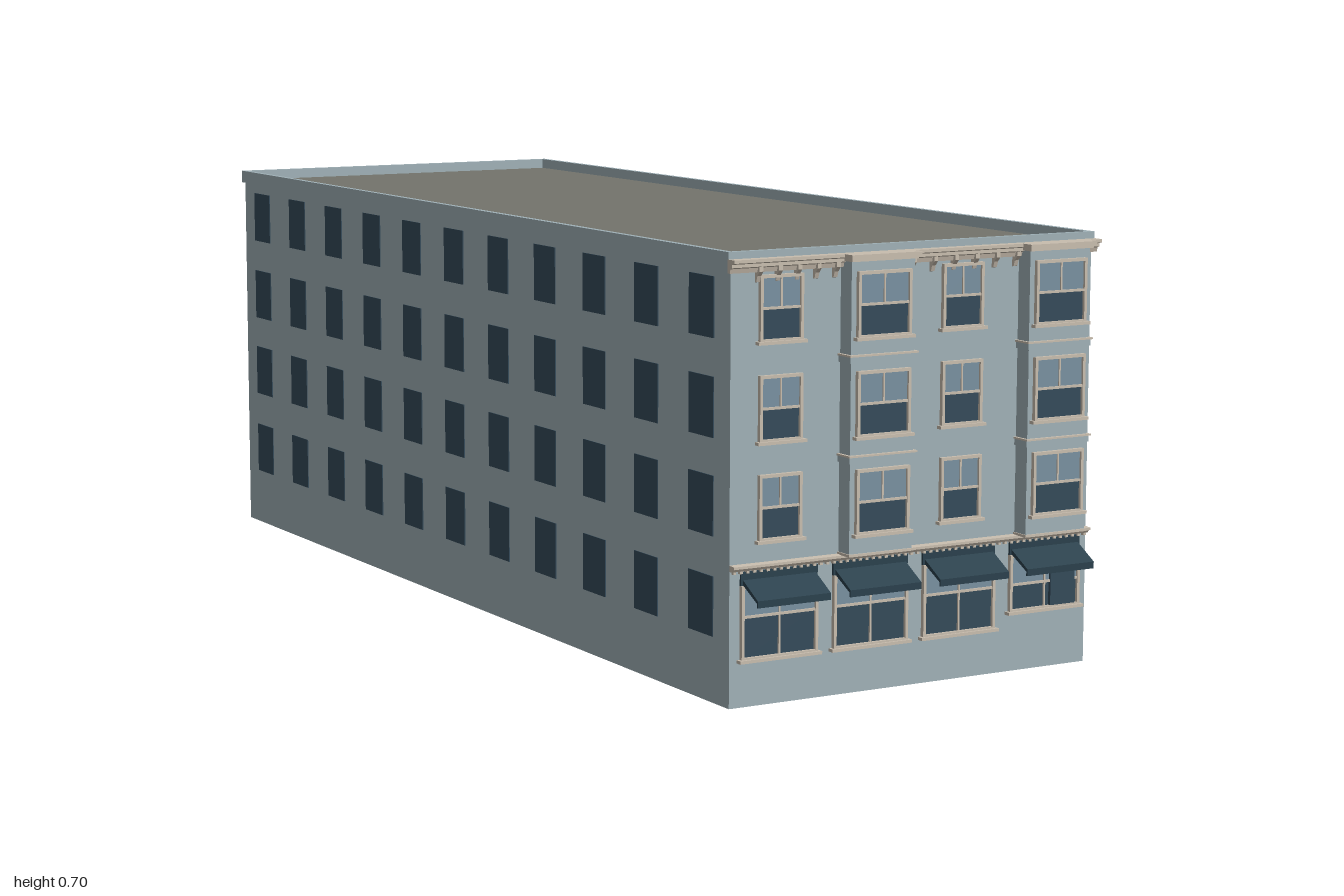
import * as THREE from 'three';

const mat = (color) => new THREE.MeshStandardMaterial({ color, flatShading: true });
const wall = mat(0x9fb0b6), roof = mat(0x73746c), dark = mat(0x344a59);
const pale = mat(0x7890a0), trim = mat(0xc8bdae), cloth = mat(0x2a404c);

const W = 0.672, L = 1.863;   // building width and depth, front wall at z = 0
const BAY = 0.03;             // how far the bays stand out
const columns = [0, 1, 2, 3].map((i) => (i - 1.5) * 0.167 + 0.002);
const floors = [0.307, 0.459, 0.612];

// Box spanning y0..y1 and z0..z1, centred on x
function box(parent, name, m, x, w, y0, y1, z0, z1) {
  const mesh = new THREE.Mesh(new THREE.BoxGeometry(w, y1 - y0, z1 - z0), m);
  mesh.position.set(x, (y0 + y1) / 2, (z0 + z1) / 2);
  mesh.name = name;
  parent.add(mesh);
  return mesh;
}

// Profile of [z, y] points swept along x
function sweep(parent, name, m, x, w, pts, z = 0) {
  const shape = new THREE.Shape(pts.map((p) => new THREE.Vector2(p[0], p[1])));
  const geo = new THREE.ExtrudeGeometry(shape, { depth: w, bevelEnabled: false });
  geo.rotateY(-Math.PI / 2);
  const mesh = new THREE.Mesh(geo, m);
  mesh.position.set(x + w / 2, 0, z);
  mesh.name = name;
  parent.add(mesh);
}

// Rectangular frame with a hole
function frame(parent, x, w, y0, y1, z, t, depth) {
  const s = new THREE.Shape();
  s.moveTo(-w / 2, y0).lineTo(w / 2, y0).lineTo(w / 2, y1).lineTo(-w / 2, y1).closePath();
  const h = new THREE.Path(), a = w / 2 - t;
  h.moveTo(-a, y0 + t).lineTo(-a, y1 - t).lineTo(a, y1 - t).lineTo(a, y0 + t).closePath();
  s.holes.push(h);
  const mesh = new THREE.Mesh(new THREE.ExtrudeGeometry(s, { depth, bevelEnabled: false }), trim);
  mesh.position.set(x, 0, z);
  mesh.name = 'windowFrame';
  parent.add(mesh);
}

// Sash window: pale upper panes, dark lower pane, frame, bars and sill
function sashWindow(parent, x, w, y0, y1, z, railY, fullBar) {
  const g = new THREE.Group();
  g.name = 'sashWindow';
  box(g, 'lowerGlass', dark, x, w - 0.004, y0, railY, z, z + 0.002);
  box(g, 'upperGlass', pale, x, w - 0.004, railY, y1 - 0.002, z, z + 0.003);
  frame(g, x, w, y0, y1, z, 0.005, 0.007);
  box(g, 'meetingRail', trim, x, w - 0.008, railY - 0.002, railY + 0.002, z, z + 0.006);
  box(g, 'verticalBar', trim, x, 0.003, fullBar ? y0 : railY, y1 - 0.003, z, z + 0.005);
  box(g, 'sill', trim, x, w + 0.01, y0 - 0.003, y0 + 0.002, z, z + 0.011);
  parent.add(g);
}

export function createModel() {
  const root = new THREE.Group();
  root.name = 'building';
  const b = new THREE.Group();
  b.name = 'rotatedBuilding';
  b.position.set(0.144, 0, 0.9025);
  b.rotation.y = 0.158;
  root.add(b);

  // Main block with roof and underside in the roof colour
  box(b, 'mainBlock', [wall, wall, roof, roof, wall, wall], 0, W, 0, 0.682, -L, 0);

  // Parapet, overhanging slightly at the sides and back
  const t = 0.01, o = 0.005;
  for (const s of [-1, 1]) {
    box(b, 'sideParapet', wall, s * (W / 2 + o - t / 2), t, 0.677, 0.7, -L - o, 0.002);
  }
  box(b, 'backParapet', wall, 0, W + 2 * o - 2 * t, 0.677, 0.7, -L - o, -L - o + t);
  box(b, 'frontParapet', wall, 0, W + 2 * o - 2 * t, 0.677, 0.7, 0.002 - t, 0.002);

  // Plain side windows: three rows on the right of the front view, four on the other
  for (let i = 0; i < 11; i++) {
    const z = -0.084 - i * 0.1694;
    for (const y of floors) {
      box(b, 'leftSideWindow', dark, W / 2, 0.003, y - 0.047, y + 0.047, z - 0.037, z + 0.037);
    }
    for (const y of [0.151, ...floors]) {
      box(b, 'rightSideWindow', dark, -W / 2, 0.003, y - 0.047, y + 0.047, z - 0.037, z + 0.037);
    }
  }
  // Back windows
  for (const x of [-0.225, 0, 0.225]) {
    for (const y of floors) {
      box(b, 'backWindow', dark, x, 0.072, y - 0.047, y + 0.047, -L - 0.0015, -L + 0.0015);
    }
  }

  // Upper floors: flat columns alternate with projecting bays
  columns.forEach((x, i) => {
    const bay = i % 2 === 1;
    const z = bay ? BAY : 0;
    if (bay) {
      box(b, 'bay', wall, x, 0.116, 0.222, 0.687, -0.002, BAY);
      for (const y of [0.374, 0.529]) {
        box(b, 'bayBand', wall, x, 0.122, y - 0.007, y + 0.003, 0, BAY + 0.003);
        box(b, 'bayBandCap', trim, x, 0.126, y + 0.003, y + 0.006, 0, BAY + 0.006);
      }
      box(b, 'bayFoot', trim, x, 0.12, 0.222, 0.226, 0, BAY + 0.003);
    }
    for (const y of floors) {
      sashWindow(b, x, bay ? 0.098 : 0.077, y - 0.052, y + 0.051, z, y, false);
    }
  });

  // Roof cornice, stepping out over the bays, with brackets on the flat stretches
  const cornice = [[0, 0.668], [0.007, 0.668], [0.009, 0.675], [0.014, 0.677],
    [0.014, 0.682], [0.02, 0.684], [0.02, 0.689], [0, 0.689]];
  sweep(b, 'roofCornice', trim, 0, 0.684, cornice);
  for (const i of [1, 3]) {
    box(b, 'bayCornice', trim, columns[i], 0.122, 0.678, 0.683, 0, BAY + 0.006);
    box(b, 'bayCorniceCap', trim, columns[i], 0.128, 0.683, 0.689, 0, BAY + 0.011);
  }
  for (const [start, end] of [[-0.29, -0.152], [-0.012, 0.185]]) {
    const n = Math.round((end - start) / 0.039);
    for (let i = 0; i <= n; i++) {
      sweep(b, 'corniceBracket', trim, start + (end - start) * i / n, 0.007,
        [[0, 0.652], [0.004, 0.653], [0.007, 0.662], [0.013, 0.669], [0.013, 0.678], [0, 0.678]]);
    }
  }

  // Belt cornice above the shops with a row of dentils
  sweep(b, 'beltCornice', trim, 0, W, [[0, 0.213], [0.006, 0.213], [0.009, 0.217], [0.013, 0.218],
    [0.013, 0.222], [0, 0.223]]);
  for (let i = 0; i < 56; i++) {
    box(b, 'beltDentil', trim, -0.33 + i * 0.012, 0.005, 0.209, 0.213, 0, 0.006);
  }

  // Shop fronts: transom panel, sloping awning and display window
  columns.forEach((x, i) => {
    const y0 = i === 3 ? 0.096 : 0.073;
    box(b, 'transomPanel', cloth, x, 0.138, 0.19, 0.211, 0, 0.004);
    sweep(b, 'awning', cloth, x, 0.131, [[0.002, 0.2], [0.002, 0.192], [0.044, 0.17],
      [0.044, 0.163], [0.047, 0.163], [0.047, 0.174]]);
    sashWindow(b, x, 0.138, y0, 0.19, 0, 0.141, true);
    if (i === 3) {
      box(b, 'shopDoor', dark, x + 0.034, 0.048, y0 + 0.005, 0.178, 0.001, 0.0075);
    }
  });

  return root;
}
